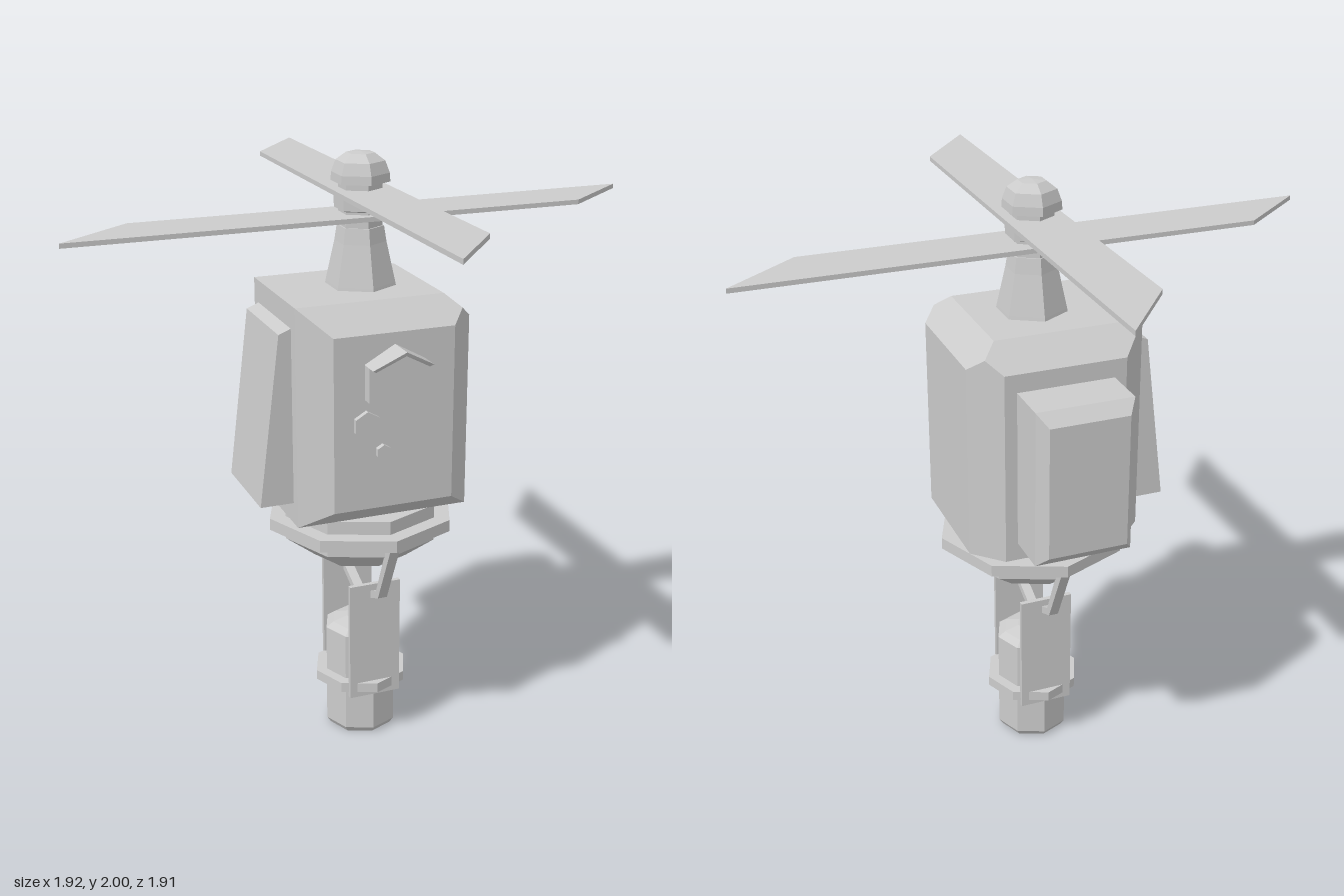
import * as THREE from 'three';
import { ConvexGeometry } from 'three/addons/geometries/ConvexGeometry.js';

export function createModel() {
  const group = new THREE.Group();
  const mat = new THREE.MeshStandardMaterial({ color: 0xcccccc, flatShading: true });

  function add(name, geometry, x = 0, y = 0, z = 0) {
    const mesh = new THREE.Mesh(geometry, mat);
    mesh.name = name;
    mesh.position.set(x, y, z);
    group.add(mesh);
    return mesh;
  }
  const hull = (pts) => new ConvexGeometry(pts.map((p) => new THREE.Vector3(...p)));
  const lathe = (pts, sides) =>
    new THREE.LatheGeometry(pts.map((p) => new THREE.Vector2(...p)), sides);
  // Flat outline given thickness, centred on its depth
  function plate(pts, depth) {
    const shape = new THREE.Shape(pts.map((p) => new THREE.Vector2(...p)));
    return new THREE.ExtrudeGeometry(shape, { depth, bevelEnabled: false })
      .translate(0, 0, -depth / 2);
  }

  // Housing: box with bevelled uprights, top bevels on three sides, one front bottom bevel
  const o = 0.29, i = 0.2, m = 0.245;
  const body = [];
  for (const s of [1, -1]) {
    body.push([i, 1.5, s * o], [o, 1.5, s * i], [i, 1.58, s * i], [m, 1.54, s * m]);
    body.push([-o, 1.58, s * i], [-i, 1.5, s * o]);
  }
  for (const s of [1, -1]) {
    body.push([s * i, 0.93, o], [s * o, 0.86, i], [s * i, 0.86, -o], [s * o, 0.86, -i]);
  }
  add('housing', hull(body));

  // Back pack with bevelled outer edges
  const pack = [];
  for (const s of [1, -1]) {
    for (const [y, inset] of [[1.44, -0.04], [0.92, 0.04]]) {
      pack.push([s * 0.16, y, -0.28], [s * 0.16, y, -0.44], [s * 0.13, y + inset, -0.48]);
    }
  }
  add('backPack', hull(pack));

  // Sloping side panel
  add('sidePanel', plate([[-0.28, 0.93], [-0.28, 1.51], [-0.33, 1.49], [-0.4, 0.93]], 0.32));

  // Hexagonal lens and two small lamps on the front
  for (const [name, x, y, r, z] of [
    ['lens', 0, 1.35, 0.113, 0.325],
    ['upperLamp', -0.095, 1.215, 0.045, 0.307],
    ['lowerLamp', -0.04, 1.12, 0.025, 0.307],
  ]) {
    const depth = z - 0.28;
    const hex = new THREE.CylinderGeometry(r, r, depth, 6).rotateX(Math.PI / 2);
    add(name, hex, x, y, 0.28 + depth / 2);
  }

  // Lens hood: two thin slanted plates
  for (const s of [1, -1]) {
    add('lensHood', hull([
      [0, 1.463, 0.28], [0, 1.45, 0.28], [0, 1.463, 0.385], [0, 1.45, 0.38],
      [s * 0.1, 1.407, 0.28], [s * 0.088, 1.4, 0.28],
      [s * 0.1, 1.407, 0.36], [s * 0.088, 1.4, 0.355],
    ]));
  }

  // Rotor mast, hub and cap
  add('mast', lathe([[0, 1.57], [0.116, 1.57], [0.112, 1.59], [0.083, 1.72], [0.075, 1.77], [0, 1.77]], 6));
  add('hub', lathe([
    [0, 1.76], [0.07, 1.76], [0.07, 1.82], [0.084, 1.825], [0.084, 1.86],
    [0.07, 1.868], [0.07, 1.91], [0, 1.91],
  ], 6));
  add('cap', lathe([
    [0, 1.908], [0.094, 1.908], [0.092, 1.935], [0.078, 1.972], [0.045, 1.996], [0, 2],
  ], 6));

  // Two crossed blades with slanted tips, one above the other
  const blade = () => plate([[-0.96, -0.095], [0.72, -0.095], [0.96, 0.095], [-0.72, 0.095]], 0.015)
    .rotateX(-Math.PI / 2);
  add('lowerBlade', blade(), 0, 1.805, 0);
  add('upperBlade', plate([[-0.095, -0.955], [0.095, -0.72], [0.095, 0.96], [-0.095, 0.72]], 0.015)
    .rotateX(-Math.PI / 2), 0, 1.88, 0);

  // Bowl and rim under the housing
  add('bowl', lathe([[0, 0.625], [0.165, 0.66], [0.265, 0.735], [0.265, 0.86], [0, 0.86]], 8));
  add('bowlRim', new THREE.CylinderGeometry(0.32, 0.32, 0.04, 8), 0, 0.795, 0);

  // Bent hanger bar
  const outer = [[0.307, 0.78], [0.2, 0.56], [0, 0.472]];
  const inner = [[0, 0.5], [0.182, 0.578], [0.272, 0.78]];
  const flip = (pts) => pts.map(([x, y]) => [-x, y]).reverse();
  const path = [...outer, ...flip(outer).slice(1), ...flip(inner), ...inner.slice(1)];
  add('hangerBar', plate(path, 0.032).rotateY(Math.PI / 2));

  // Hanging weight with its band and two straps
  add('weight', lathe([
    [0, 0], [0.112, 0], [0.125, 0.02], [0.125, 0.375], [0.1, 0.393], [0.05, 0.407], [0, 0.41],
  ], 8));
  add('weightBand', new THREE.CylinderGeometry(0.162, 0.162, 0.034, 8), 0, 0.198, 0);
  for (const s of [1, -1]) {
    add('strap', new THREE.BoxGeometry(0.18, 0.42, 0.016), 0, 0.372, s * 0.128);
  }
  return group;
}
